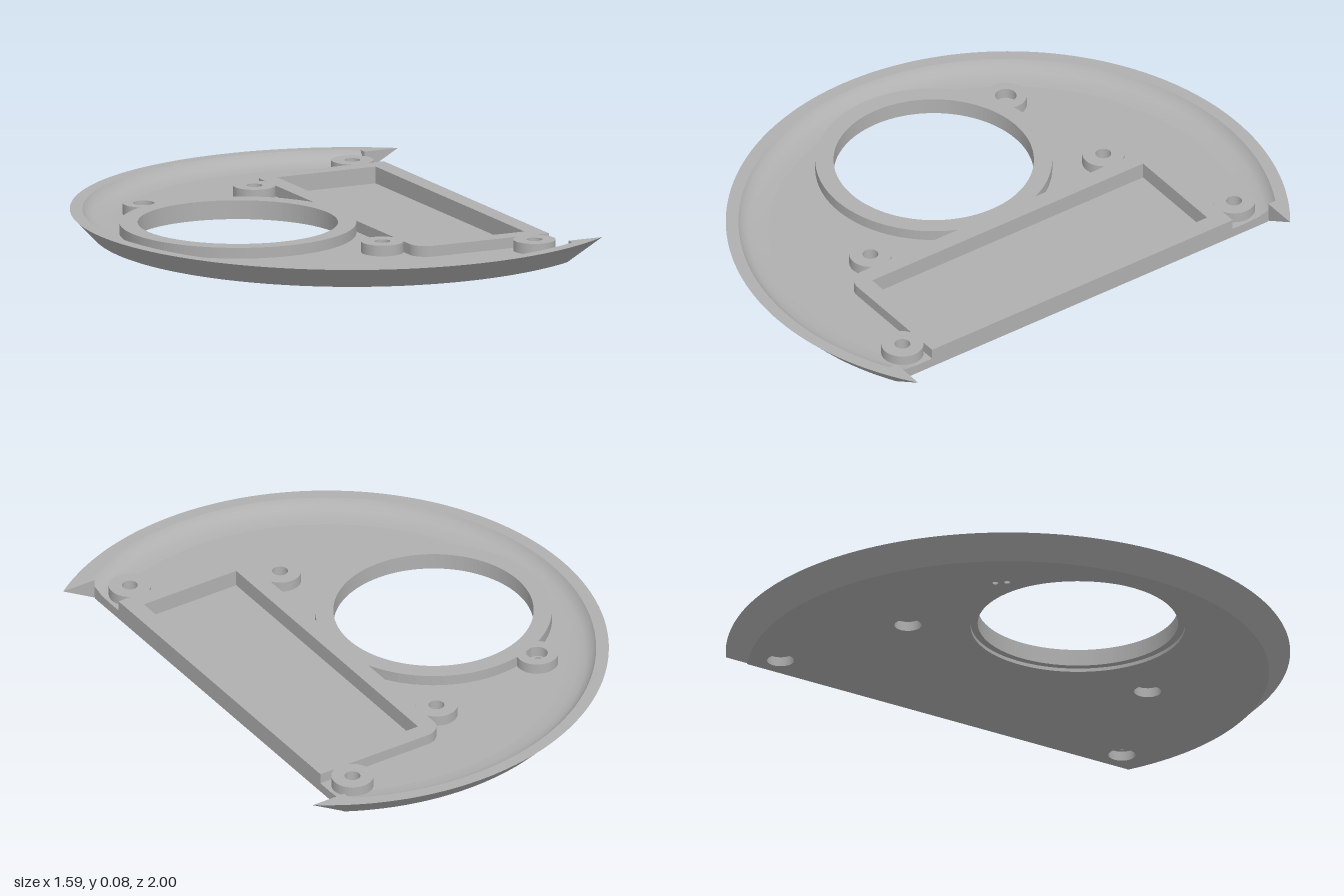
import * as THREE from 'three';

const CX = 0.207, CUT = 0.66, HORN = 0.81, TOP = 0.078;
const FLOOR = 0.035, RAISED = 0.074, POCKET = 0.013;
const DX = CUT - CX;
const zAtCut = r => Math.sqrt(r * r - DX * DX);

export function createModel() {
  const group = new THREE.Group();
  const grey = new THREE.MeshStandardMaterial({ color: 0xb0b0b0, side: THREE.DoubleSide });
  grey.name = 'plain grey';

  const add = (name, geo) => {
    const mesh = new THREE.Mesh(geo, grey);
    mesh.name = name;
    group.add(mesh);
    return mesh;
  };
  // Plan shapes use x and -z, then are laid flat between two heights
  const slab = (name, shape, y0, y1) => {
    const geo = new THREE.ExtrudeGeometry(shape, { depth: y1 - y0, bevelEnabled: false, curveSegments: 64 });
    geo.rotateX(-Math.PI / 2).translate(0, y0, 0);
    return add(name, geo);
  };
  const circle = (x, z, r, Kind = THREE.Path) => {
    const p = new Kind();
    p.absarc(x, -z, r, 0, Math.PI * 2, false);
    return p;
  };
  const rect = (x0, x1, z0, z1) => new THREE.Path([
    new THREE.Vector2(x0, -z0), new THREE.Vector2(x1, -z0),
    new THREE.Vector2(x1, -z1), new THREE.Vector2(x0, -z1)]);
  const cutDisc = r => {
    const a = Math.acos(DX / r), s = new THREE.Shape();
    s.absarc(CX, 0, r, a, Math.PI * 2 - a, false);
    s.closePath();
    return s;
  };

  const screws = [[0.075, -0.51], [0.075, 0.505], [0.57, -0.725], [0.57, 0.72]];
  const bigHole = r => circle(-0.245, 0, r);
  const counterbores = () => screws.map(([x, z]) => circle(x, z, 0.048));
  const pinHoles = () => [circle(-0.418, -0.412, 0.011), circle(-0.39, -0.444, 0.011)];
  const pocket = () => rect(0.205, 0.595, -0.59, 0.59);

  // Base plate, and the floor above it with the rectangular pocket
  const base = cutDisc(0.925);
  base.holes.push(bigHole(0.38), ...counterbores(), ...pinHoles());
  slab('basePlate', base, 0, POCKET);
  const floor = cutDisc(0.9);
  floor.holes.push(bigHole(0.355), ...counterbores(), ...pinHoles(), pocket());
  slab('floor', floor, POCKET, FLOOR);

  // Raised frame around the pocket, rounded on the inner side
  const frame = new THREE.Shape();
  frame.moveTo(CUT, -0.655);
  frame.lineTo(CUT, 0.655);
  frame.lineTo(0.205, 0.655);
  frame.absarc(0.205, 0.59, 0.065, Math.PI / 2, Math.PI, false);
  frame.lineTo(0.14, -0.59);
  frame.absarc(0.205, -0.59, 0.065, Math.PI, Math.PI * 1.5, false);
  frame.closePath();
  frame.holes.push(pocket());
  slab('pocketFrame', frame, FLOOR, RAISED);

  // Raised ring and bosses
  const raisedRing = (name, x, z, outer, inner) => {
    const s = circle(x, z, outer, THREE.Shape);
    s.holes.push(circle(x, z, inner));
    slab(name, s, FLOOR, RAISED);
  };
  raisedRing('openingRing', -0.245, 0, 0.42, 0.355);
  screws.forEach(([x, z]) => raisedRing('screwBoss', x, z, 0.075, 0.028));
  raisedRing('pinBoss', -0.404, -0.428, 0.075, 0.038);

  // Sweep [radius, height, endsOnHorn] rows around the rim
  const sweep = (name, rows, steps = 128) => {
    const pos = [], idx = [];
    rows.forEach(([r, y, horn]) => {
      const a = horn ? Math.asin(HORN / r) : Math.acos(DX / r);
      for (let i = 0; i <= steps; i++) {
        const t = a + (Math.PI * 2 - 2 * a) * i / steps;
        pos.push(CX + r * Math.cos(t), y, r * Math.sin(t));
      }
    });
    for (let j = 0; j < rows.length - 1; j++) {
      for (let i = 0; i < steps; i++) {
        const a = j * (steps + 1) + i, b = a + steps + 1;
        idx.push(a, a + 1, b, b, a + 1, b + 1);
      }
    }
    const geo = new THREE.BufferGeometry();
    geo.setAttribute('position', new THREE.Float32BufferAttribute(pos, 3));
    // Orient faces along the profile's outward side
    geo.setIndex(idx.reverse());
    geo.computeVertexNormals();
    add(name, geo);
  };
  const rMid = Math.hypot(HORN, DX);
  const yMid = TOP * (rMid - 0.925) / 0.075;
  sweep('outerWall', [[0.925, 0], [rMid, yMid], [1, TOP, true]]);
  sweep('rimTop', [[1, TOP, true], [0.955, TOP]]);
  sweep('innerWall', [[0.955, TOP], [0.942, 0.058], [0.92, 0.046], [0.89, 0.038], [0.85, FLOOR]]);

  // Horn tips and the cut ends of the rim, mirrored front and back
  const tipX = CX + Math.sqrt(1 - HORN * HORN);
  const flat = (name, pts) => {
    const geo = new THREE.BufferGeometry().setFromPoints(pts.map(p => new THREE.Vector3(...p)));
    geo.computeVertexNormals();
    add(name, geo);
  };
  for (const s of [1, -1]) {
    const order = pts => (s > 0 ? pts : pts.reverse());
    flat('hornTop', order([[CUT, TOP, s * HORN], [CUT, TOP, s * zAtCut(0.955)], [tipX, TOP, s * HORN]]));
    flat('hornFace', order([[CUT, yMid, s * HORN], [CUT, TOP, s * HORN], [tipX, TOP, s * HORN]]));
    const outline = [
      [zAtCut(0.85), 0], [zAtCut(0.925), 0], [HORN, yMid], [0.835, 0.04],
      [zAtCut(0.955), TOP], [HORN, TOP], [HORN, 0.05],
      [zAtCut(0.89), 0.038], [zAtCut(0.85), FLOOR],
    ].map(([z, y]) => new THREE.Vector2(-s * z, y));
    const end = new THREE.ShapeGeometry(new THREE.Shape(outline));
    end.rotateY(Math.PI / 2).translate(CUT, 0, 0);
    add('rimEnd', end);
  }
  return group;
}
